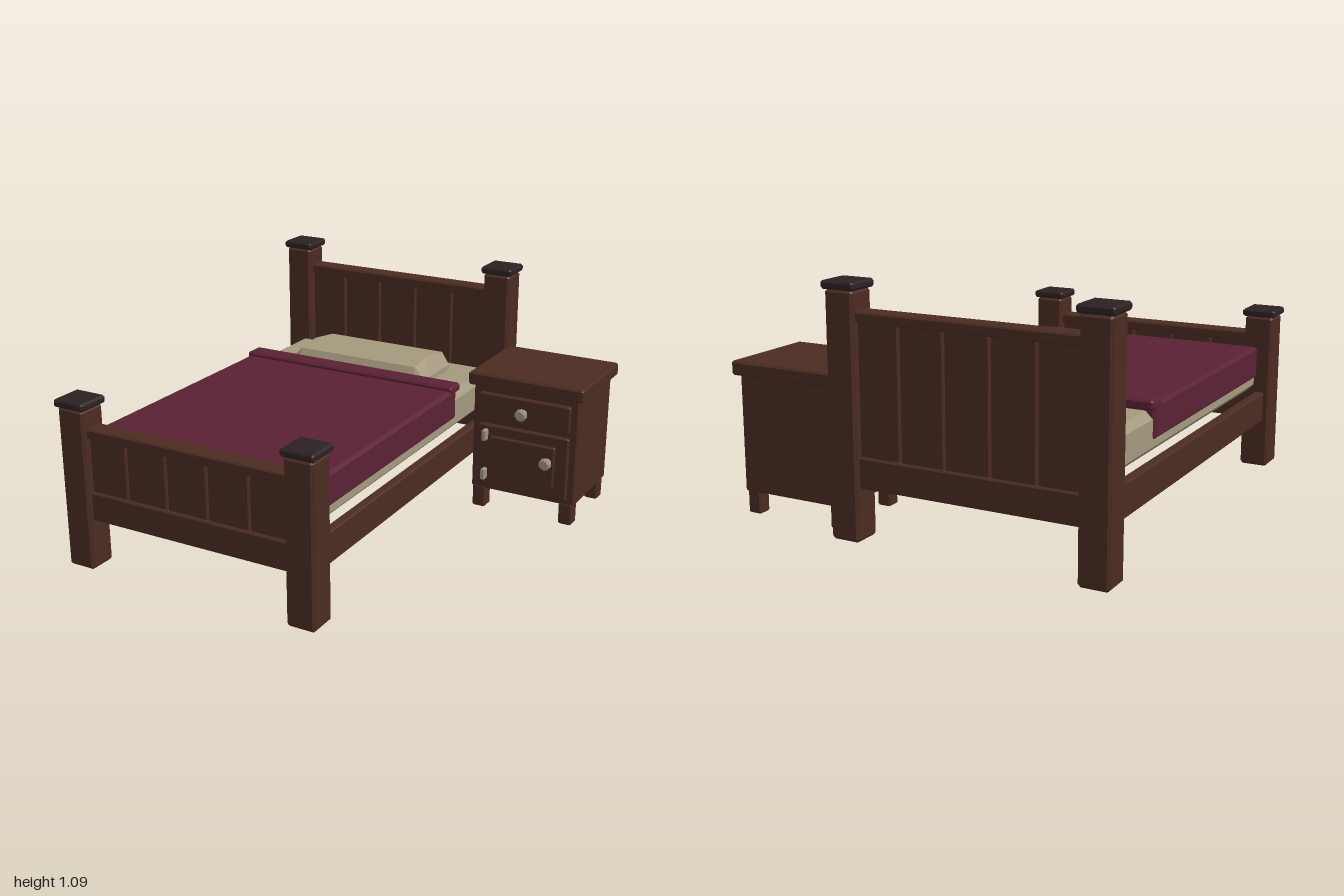
import * as THREE from 'three';
import { ConvexGeometry } from 'three/addons/geometries/ConvexGeometry.js';

const material = (name, color) => {
  const m = new THREE.MeshStandardMaterial({ color });
  m.name = name;
  return m;
};

export function createModel() {
  const wood = material('dark wood', 0x4b2b22);
  const capWood = material('blackened cap', 0x2c2122);
  const cloth = material('burgundy blanket', 0x5a2135);
  const linen = material('linen', 0xa4997e);
  const metal = material('pale metal', 0x9c927c);

  const model = new THREE.Group();
  model.name = 'bedroomSet';
  const bed = new THREE.Group();
  bed.name = 'bed';
  const nightstand = new THREE.Group();
  nightstand.name = 'nightstand';
  model.add(bed, nightstand);

  const add = (parent, name, geometry, mat) => {
    const mesh = new THREE.Mesh(geometry, mat);
    mesh.name = name;
    parent.add(mesh);
    return mesh;
  };

  // Chamfered block given by its extents on each axis
  const block = (parent, name, mat, [x0, x1], [y0, y1], [z0, z1], c = 0.007) => {
    const h = [(x1 - x0) / 2, (y1 - y0) / 2, (z1 - z0) / 2];
    const points = [];
    for (const sx of [-1, 1]) for (const sy of [-1, 1]) for (const sz of [-1, 1]) {
      for (let face = 0; face < 3; face++) {
        const [x, y, z] = h.map((v, axis) => (axis === face ? v : v - c));
        points.push(new THREE.Vector3(sx * x, sy * y, sz * z));
      }
    }
    const mesh = add(parent, name, new ConvexGeometry(points), mat);
    mesh.position.set((x0 + x1) / 2, (y0 + y1) / 2, (z0 + z1) / 2);
    return mesh;
  };
  const around = (centre, half) => [centre - half, centre + half];

  // Corner posts with flat caps
  for (const [z, top] of [[0.92, 0.74], [-0.92, 1.05]]) {
    for (const x of [-0.84, 0.29]) {
      block(bed, 'post', wood, around(x, 0.068), [0, top], around(z, 0.068), 0.012);
      block(bed, 'postCap', capWood, around(x, 0.079), [top, top + 0.035], around(z, 0.079), 0.009);
    }
  }

  // Headboard and footboard: two rails with five upright boards between
  const board = (name, z, railTop) => {
    const group = new THREE.Group();
    group.name = name;
    bed.add(group);
    block(group, 'topRail', wood, [-0.79, 0.24], [railTop - 0.046, railTop], around(z, 0.045));
    block(group, 'bottomRail', wood, [-0.79, 0.24], [0.23, 0.363], around(z, 0.04));
    const seams = [-0.785, -0.584, -0.379, -0.173, 0.033, 0.235];
    for (let i = 0; i < 5; i++) {
      block(group, 'slat', wood, [seams[i] + 0.004, seams[i + 1] - 0.004],
        [0.35, railTop - 0.035], around(z, 0.025), 0.005);
    }
  };
  board('headboard', -0.925, 0.967);
  board('footboard', 0.922, 0.657);

  // Side rails
  for (const x of [-0.854, 0.304]) {
    block(bed, 'sideRail', wood, around(x, 0.023), [0.225, 0.37], [-0.88, 0.88]);
  }

  // Bedding
  block(bed, 'mattress', linen, [-0.835, 0.281], [0.38, 0.565], [-0.878, 0.862], 0.033);
  block(bed, 'blanket', cloth, [-0.846, 0.291], [0.443, 0.597], [-0.43, 0.838], 0.014);
  block(bed, 'blanketFold', cloth, [-0.848, 0.293], [0.575, 0.617], [-0.463, -0.365], 0.009);

  // Pillow: ridged middle section tapering to lower ends
  const pillowPoints = [];
  for (const side of [-1, 1]) {
    const p = (halfWidth, y, z) => pillowPoints.push(new THREE.Vector3(-0.278 + side * halfWidth, y, z));
    p(0.325, 0.56, -0.8);
    p(0.318, 0.638, -0.785);
    p(0.318, 0.662, -0.615);
    p(0.318, 0.645, -0.48);
    p(0.325, 0.56, -0.438);
    p(0.373, 0.56, -0.75);
    p(0.373, 0.59, -0.75);
    p(0.373, 0.59, -0.478);
    p(0.373, 0.56, -0.478);
  }
  add(bed, 'pillow', new ConvexGeometry(pillowPoints), linen);

  // Nightstand carcass
  block(nightstand, 'tableTop', wood, [0.343, 0.913], [0.622, 0.685], [-0.918, -0.443], 0.009);
  block(nightstand, 'cabinet', wood, [0.366, 0.888], [0.1, 0.63], [-0.89, -0.468]);
  for (const x of [0.405, 0.847]) {
    for (const z of [-0.5, -0.852]) {
      block(nightstand, 'leg', wood, around(x, 0.033), [0, 0.11], around(z, 0.033));
    }
  }

  // Drawer and framed door with a raised panel
  block(nightstand, 'drawer', wood, [0.4, 0.853], [0.46, 0.592], [-0.49, -0.448]);
  block(nightstand, 'door', wood, [0.4, 0.853], [0.127, 0.437], [-0.49, -0.448]);
  block(nightstand, 'doorPanel', wood, [0.462, 0.793], [0.173, 0.387], [-0.46, -0.434]);

  // Hinges
  for (const y of [0.39, 0.192]) {
    block(nightstand, 'hinge', metal, around(0.443, 0.011), around(y, 0.027), [-0.45, -0.413], 0.004);
  }

  // Turned knobs, facing the front
  const knobProfile = [[0, 0], [0.017, 0], [0.017, 0.022], [0.029, 0.028], [0.029, 0.042], [0.02, 0.05], [0, 0.05]]
    .map(([r, y]) => new THREE.Vector2(r, y));
  const knobGeometry = new THREE.LatheGeometry(knobProfile, 10).toNonIndexed();
  knobGeometry.computeVertexNormals();
  for (const [x, y, z] of [[0.627, 0.526, -0.449], [0.762, 0.314, -0.435]]) {
    const knob = add(nightstand, 'knob', knobGeometry, metal);
    knob.rotation.x = Math.PI / 2;
    knob.position.set(x, y, z);
  }

  return model;
}
